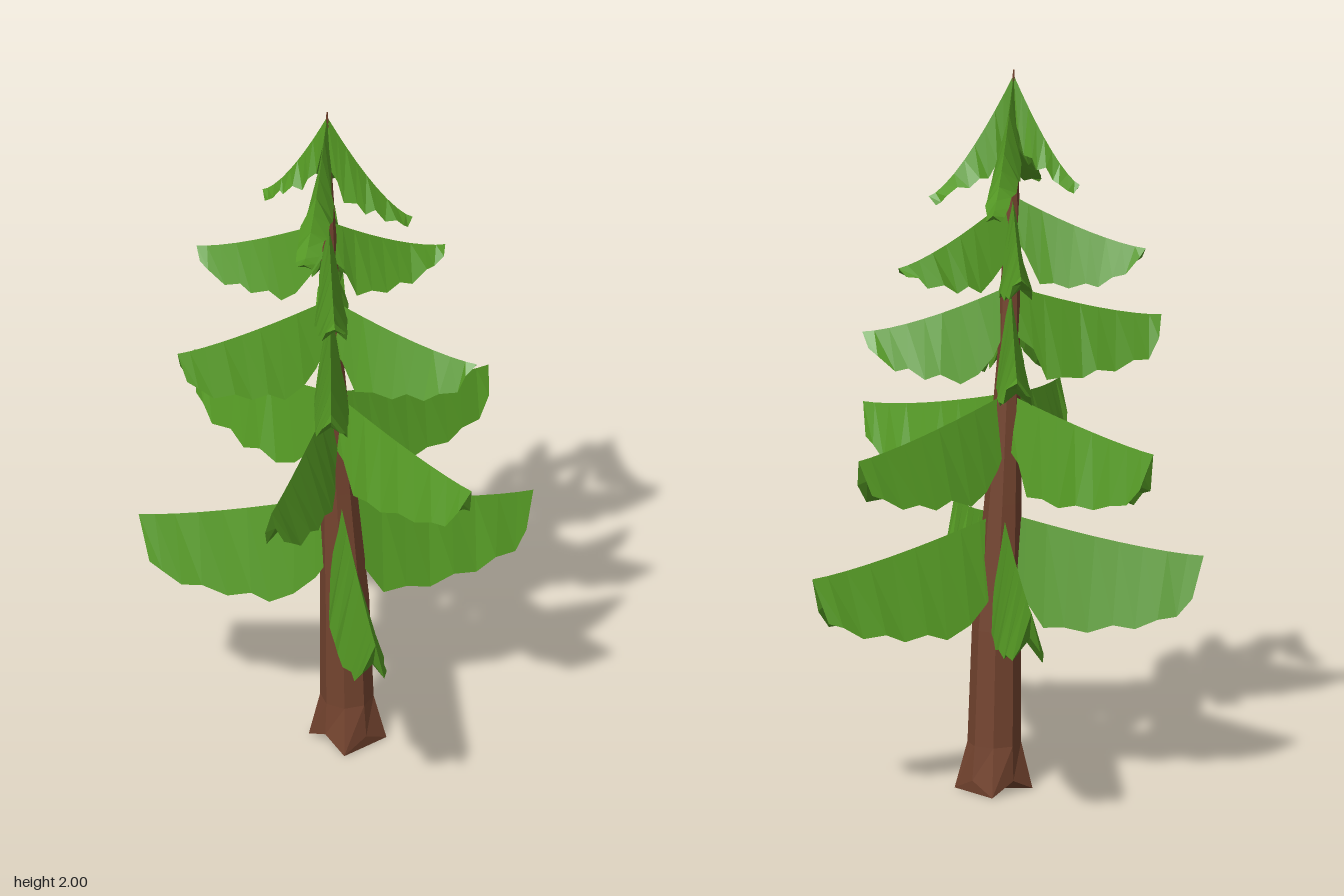
import * as THREE from 'three';

// Flat-shaded skin over equal-length cross-sections, capped at both ends.
// Section points run counter-clockwise when looking back from the last section.
function loft(sections) {
  const n = sections[0].length;
  const index = [];
  for (let i = 0; i < sections.length - 1; i++) {
    for (let k = 0; k < n; k++) {
      const a = i * n + k, b = i * n + (k + 1) % n;
      index.push(a, b, b + n, a, b + n, a + n);
    }
  }
  const last = (sections.length - 1) * n;
  for (let k = 1; k < n - 1; k++) {
    index.push(0, k + 1, k);
    index.push(last, last + k, last + k + 1);
  }
  const indexed = new THREE.BufferGeometry();
  indexed.setAttribute('position', new THREE.Float32BufferAttribute(sections.flat(2), 3));
  indexed.setIndex(index);
  const geometry = indexed.toNonIndexed();
  geometry.computeVertexNormals();
  return geometry;
}

function seeded(seed) {
  let s = seed;
  return () => (s = (s * 16807) % 2147483647) / 2147483647;
}

// Trunk rings: [y, centre x, centre z, radius]
const TRUNK = [
  [0.02, 0.068, 0.0, 0.095],
  [0.13, 0.066, 0.0, 0.072],
  [0.45, 0.061, 0.005, 0.066],
  [0.8, 0.045, 0.012, 0.05],
  [1.2, 0.031, 0.02, 0.031],
  [1.6, 0.023, 0.027, 0.021],
  [2.0, 0.02, 0.032, 0.002],
];

function trunkAt(y) {
  let i = 0;
  while (i < TRUNK.length - 2 && TRUNK[i + 1][0] < y) i++;
  const [p, q] = [TRUNK[i], TRUNK[i + 1]];
  const t = (y - p[0]) / (q[0] - p[0]);
  return [p[1] + (q[1] - p[1]) * t, p[2] + (q[2] - p[2]) * t];
}

function trunkGeometry() {
  const sides = 8;
  return loft(TRUNK.map(([y, cx, cz, r], ring) =>
    Array.from({ length: sides }, (_, k) => {
      const a = (k / sides) * Math.PI * 2 + 0.2;
      // the lowest ring alternates into root flares
      const flare = ring === 0 ? (k % 2 ? 0.82 : 1.1) : 1;
      const lift = ring === 0 ? (k % 2 ? 0.015 : -0.02) : 0;
      return [cx + Math.cos(a) * r * flare, y + lift, cz - Math.sin(a) * r * flare];
    })));
}

// Stations along a bough, with half-width and hem height factors
const STATIONS = [0, 0.12, 0.22, 0.34, 0.46, 0.58, 0.7, 0.82, 0.92, 1];
const WIDTH = [0.35, 0.62, 0.85, 0.98, 1, 1, 0.95, 0.88, 0.76, 0.55];
const HEM = [0.15, 0.08, 0.015, 0.005, 0.01, 0.012, 0.02, 0.03, 0.05, 0.085];
const TOP_HEM = [0.2, 0.13, 0.09, 0.07, 0.055, 0.045, 0.03, 0.02, 0.01, 0.0];

// Tent-shaped bough: sharp ridge, steep sides, ragged hem, hollowed underside
function boughGeometry(top, low, halfWidth, hem, [tx, ty, tz], seed) {
  const random = seeded(seed);
  const [cx, cz] = trunkAt(top);
  const length = Math.hypot(tx - cx, tz - cz);
  const fx = (tx - cx) / length, fz = (tz - cz) / length;
  const place = (along, y, side) => [cx + fx * along + fz * side, y, cz + fz * along - fx * side];

  return loft(STATIONS.map((s, i) => {
    const ridge = top + (ty - top) * (1 - Math.pow(1 - s, 1.4));
    const w = halfWidth * WIDTH[i];
    const hemSide = (sign) => {
      const rag = ((i + (sign > 0 ? 1 : 0)) % 2 ? 0.014 : -0.004) + random() * 0.008;
      const y = Math.min(low + hem[i] + rag, ridge - 0.02);
      const along = length * (s * 0.95) + (random() - 0.5) * 0.015;
      return [along, y, sign * w * (0.9 + random() * 0.2)];
    };
    const right = hemSide(-1), left = hemSide(1);
    const hemY = (right[1] + left[1]) / 2;
    return [
      place(length * s, ridge, 0),
      place(...right),
      place(length * s * 0.94, hemY + (ridge - hemY) * 0.3, 0),
      place(...left),
    ];
  }));
}

// Tiers from bottom to top; each tip is [x, y, z] at the end of the ridge
const TIERS = [
  { name: 'lowestBoughs', top: 0.77, low: 0.445, width: 0.055, hem: HEM,
    tips: [[-0.16, 0.65, -0.52], [0.3, 0.65, 0.52], [-0.49, 0.66, 0.09], [0.487, 0.65, -0.34]] },
  { name: 'lowerBoughs', top: 1.1, low: 0.82, width: 0.05, hem: HEM,
    tips: [[-0.42, 1.02, -0.2], [0.48, 0.99, 0.22], [0.005, 1.01, 0.505], [0.35, 1.0, -0.38]] },
  { name: 'middleBoughs', top: 1.4, low: 1.125, width: 0.047, hem: HEM,
    tips: [[0.43, 1.25, 0.0], [-0.34, 1.285, 0.23], [0.14, 1.26, 0.4], [-0.09, 1.25, -0.39]] },
  { name: 'upperBoughs', top: 1.65, low: 1.4, width: 0.042, hem: HEM,
    tips: [[-0.34, 1.52, 0.05], [0.285, 1.49, -0.19], [0.13, 1.51, 0.33], [-0.08, 1.51, -0.3]] },
  { name: 'crownBoughs', top: 1.985, low: 1.635, width: 0.036, hem: TOP_HEM,
    tips: [[-0.17, 1.7, 0.0], [0.235, 1.655, -0.05], [0.02, 1.65, 0.255], [0.02, 1.66, -0.21]] },
];

export function createModel() {
  const bark = new THREE.MeshStandardMaterial({ color: 0x74442f });
  bark.name = 'bark';
  const needles = new THREE.MeshStandardMaterial({ color: 0x559a24 });
  needles.name = 'needles';

  const tree = new THREE.Group();
  tree.name = 'pineTree';

  const trunk = new THREE.Mesh(trunkGeometry(), bark);
  trunk.name = 'trunk';
  tree.add(trunk);

  TIERS.forEach((tier, t) => {
    const group = new THREE.Group();
    group.name = tier.name;
    tier.tips.forEach((tip, i) => {
      // the crown's shortest boughs hang a little higher
      const low = tier.low + (t === 4 ? tip[1] - 1.65 : 0);
      const bough = new THREE.Mesh(
        boughGeometry(tier.top, low, tier.width, tier.hem, tip, 101 + t * 977 + i * 131), needles);
      bough.name = 'bough';
      group.add(bough);
    });
    tree.add(group);
  });
  return tree;
}
